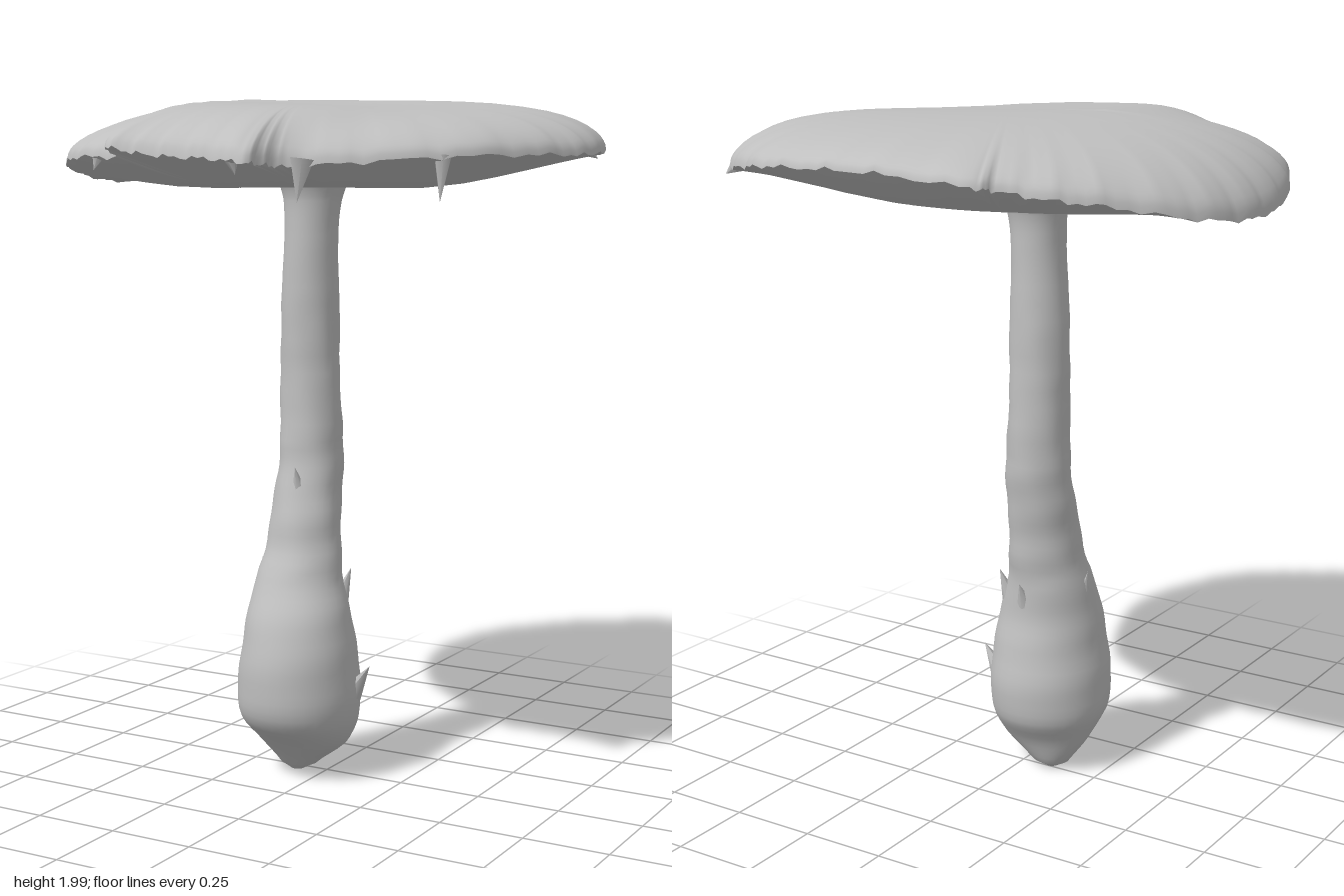
import * as THREE from 'three';

const grey = new THREE.MeshStandardMaterial({ color: 0xbfbfbf });
grey.name = 'plain grey';

// Skin a list of equally long closed rings of [x, y, z] points
function loft(name, rings) {
  const n = rings[0].length, index = [];
  for (let i = 0; i < rings.length - 1; i++) {
    for (let j = 0; j < n; j++) {
      const a = i * n + j, b = i * n + (j + 1) % n;
      index.push(a, a + n, b, b, a + n, b + n);
    }
  }
  const geo = new THREE.BufferGeometry();
  geo.setAttribute('position', new THREE.Float32BufferAttribute(rings.flat(2), 3));
  geo.setIndex(index);
  geo.computeVertexNormals();
  const mesh = new THREE.Mesh(geo, grey);
  mesh.name = name;
  return mesh;
}

// Torn flake: thin cone from a base point to a tip
function flake(name, from, to, radius) {
  const a = new THREE.Vector3(...from), dir = new THREE.Vector3(...to).sub(a);
  const geo = new THREE.ConeGeometry(radius, dir.length(), 6);
  geo.translate(0, dir.length() / 2, 0);
  const mesh = new THREE.Mesh(geo, grey);
  mesh.position.copy(a);
  mesh.quaternion.setFromUnitVectors(new THREE.Vector3(0, 1, 0), dir.normalize());
  mesh.name = name;
  return mesh;
}

// Stem sections: y, min x, max x, min z, max z
const STEM = [
  [0.00, -0.11, -0.07, 0.00, 0.04], [0.02, -0.145, -0.03, -0.03, 0.065],
  [0.10, -0.20, 0.075, -0.07, 0.14], [0.18, -0.235, 0.115, -0.12, 0.23],
  [0.28, -0.24, 0.12, -0.13, 0.25], [0.40, -0.225, 0.11, -0.11, 0.24],
  [0.50, -0.215, 0.09, -0.09, 0.21], [0.60, -0.20, 0.055, -0.09, 0.16],
  [0.70, -0.18, 0.04, -0.10, 0.12], [0.80, -0.175, 0.03, -0.11, 0.10],
  [0.90, -0.17, 0.025, -0.125, 0.07], [1.00, -0.165, 0.02, -0.13, 0.06],
  [1.20, -0.165, 0.01, -0.125, 0.05], [1.40, -0.16, 0.01, -0.12, 0.055],
  [1.60, -0.145, 0.01, -0.11, 0.055], [1.70, -0.15, 0.02, -0.115, 0.055],
  [1.75, -0.165, 0.035, -0.135, 0.07], [1.79, -0.20, 0.06, -0.17, 0.10],
  [1.83, -0.24, 0.10, -0.20, 0.13],
];

function stem() {
  const rows = 72, sides = 32, rings = [];
  const curves = [1, 2, 3, 4].map(k => new THREE.CatmullRomCurve3(
    STEM.map(r => new THREE.Vector3(r[k], r[0], 0)), false, 'centripetal'));
  for (let i = 0; i <= rows; i++) {
    const t = i / rows * (STEM.length - 1), lo = Math.min(Math.floor(t), STEM.length - 2);
    const y = THREE.MathUtils.lerp(STEM[lo][0], STEM[lo + 1][0], t - lo);
    const [x0, x1, z0, z1] = curves.map(c => c.getPoint(i / rows).x);
    const rough = y > 0.6 && y < 1.4 ? 0.035 : 0.012;
    rings.push(Array.from({ length: sides }, (_, j) => {
      const a = j / sides * Math.PI * 2;
      const k = 0.5 * (1 + rough * Math.sin(3 * a + 17 * y) * Math.sin(2 * a - 31 * y));
      return [(x0 + x1) / 2 + (x1 - x0) * k * Math.cos(a), y, (z0 + z1) / 2 + (z1 - z0) * k * Math.sin(a)];
    }));
  }
  rings.unshift(rings[0].map(() => [-0.09, 0, 0.02]));
  return loft('stem', rings);
}

// Cap rim as x, y, z, with the torn lip at the front
const RIM = [
  [0.78, 1.83, -0.05], [0.74, 1.83, 0.16], [0.61, 1.825, 0.43], [0.41, 1.81, 0.60],
  [0.26, 1.80, 0.68], [0.235, 1.805, 0.74], [0.215, 1.81, 0.80], [0.1, 1.82, 0.785],
  [-0.02, 1.825, 0.78], [-0.12, 1.835, 0.79], [-0.20, 1.85, 0.80], [-0.22, 1.84, 0.75],
  [-0.24, 1.825, 0.69], [-0.43, 1.825, 0.60], [-0.60, 1.805, 0.44], [-0.72, 1.78, 0.22],
  [-0.78, 1.755, 0.0], [-0.785, 1.755, -0.2], [-0.73, 1.78, -0.4], [-0.6, 1.82, -0.57],
  [-0.49, 1.84, -0.67], [-0.38, 1.86, -0.73], [-0.35, 1.87, -0.78], [-0.1, 1.89, -0.81],
  [0.1, 1.89, -0.81], [0.3, 1.88, -0.775], [0.45, 1.86, -0.69], [0.6, 1.84, -0.56],
  [0.72, 1.84, -0.33],
];
const CENTRE_Z = -0.05;

function cap() {
  const curve = new THREE.CatmullRomCurve3(RIM.map(p => new THREE.Vector3(...p)), true, 'centripetal');
  const rim = curve.getPoints(192).slice(0, -1);
  // Ragged edge
  rim.forEach((p, j) => {
    const w = Math.sin(j * 1.9) * Math.sin(j * 0.7 + 1);
    p.y += 0.008 * w;
    p.x *= 1 + 0.005 * w;
  });
  // Inner rings are round, the outermost follow the ragged rim
  const ring = (s, height) => rim.map(p => {
    const a = Math.atan2(p.z - CENTRE_Z, p.x), edge = s ** 8;
    const x = s * THREE.MathUtils.lerp(0.78 * Math.cos(a), p.x, edge);
    const z = CENTRE_Z + s * THREE.MathUtils.lerp(0.755 * Math.sin(a), p.z - CENTRE_Z, edge);
    const smoothY = 1.83 + 0.035 * Math.cos(a) - 0.035 * Math.sin(a);
    return [x, height(THREE.MathUtils.lerp(smoothY, p.y, s ** 3), x, z), z];
  });
  const steps = [1, 0.997, 0.99, 0.98, 0.96, 0.93, 0.89, 0.84, 0.78, 0.7, 0.6, 0.48, 0.34, 0.18, 0];
  // Broad crown: tilted to the front right, drooping at the left, steep at the lip
  const top = steps.map(s => ring(s, (y, x, z) => {
    const dip = 0.018 * Math.exp(-((x - 0.2) ** 2 + (z - 0.1) ** 2) * 6);
    const crown = Math.min(1.999, 1.992 - 0.02 * x - 0.04 * z) - dip;
    const lip = z > 0 ? Math.exp(-((x / 0.27) ** 4)) : 0;
    const power = 3.1 + 0.9 * Math.min(0, x) + 4.5 * lip;
    return y + (crown - y) * Math.sqrt(1 - s ** power);
  }));
  // Bulging underside, hollowed around the stem
  const under = [...steps].reverse().map(s => ring(s, (y, x, z) => {
    const hollow = 0.075 * Math.exp(-((x + 0.07) ** 2 + (z + 0.03) ** 2) * 28);
    const ripple = 0.01 * s * (1 - s) * Math.sin(9 * x + 4 * z) * Math.sin(8 * z);
    return 1.724 + (y - 1.724) * s ** 2.3 + hollow + ripple;
  }));
  const group = new THREE.Group();
  group.name = 'cap';
  group.add(loft('capTop', top), loft('capUnderside', under));
  return group;
}

export function createModel() {
  const model = new THREE.Group();
  model.name = 'mushroom';
  model.add(stem(), cap());
  // Torn flakes hanging from the rim
  [
    [[0.29, 1.82, 0.64], [0.28, 1.71, 0.65], 0.035],
    [[0.58, 1.83, 0.43], [0.575, 1.71, 0.435], 0.025],
    [[-0.36, 1.83, 0.61], [-0.37, 1.79, 0.62], 0.02],
    [[0.15, 1.82, 0.75], [0.16, 1.78, 0.75], 0.02],
    [[0.56, 1.85, -0.57], [0.6, 1.82, -0.58], 0.025],
  ].forEach(f => model.add(flake('rimFlake', ...f)));
  // Flakes on the bulb and stem
  [
    [[0.09, 0.25, 0.02], [0.155, 0.345, 0.02], 0.035],
    [[0.035, 0.53, -0.02], [0.06, 0.62, -0.04], 0.025],
    [[-0.185, 0.54, 0.03], [-0.205, 0.64, 0.03], 0.02],
    [[-0.06, 0.86, 0.06], [-0.06, 0.93, 0.085], 0.02],
    [[-0.05, 0.54, -0.07], [-0.05, 0.61, -0.105], 0.025],
  ].forEach(f => model.add(flake('stemFlake', ...f)));
  return model;
}
